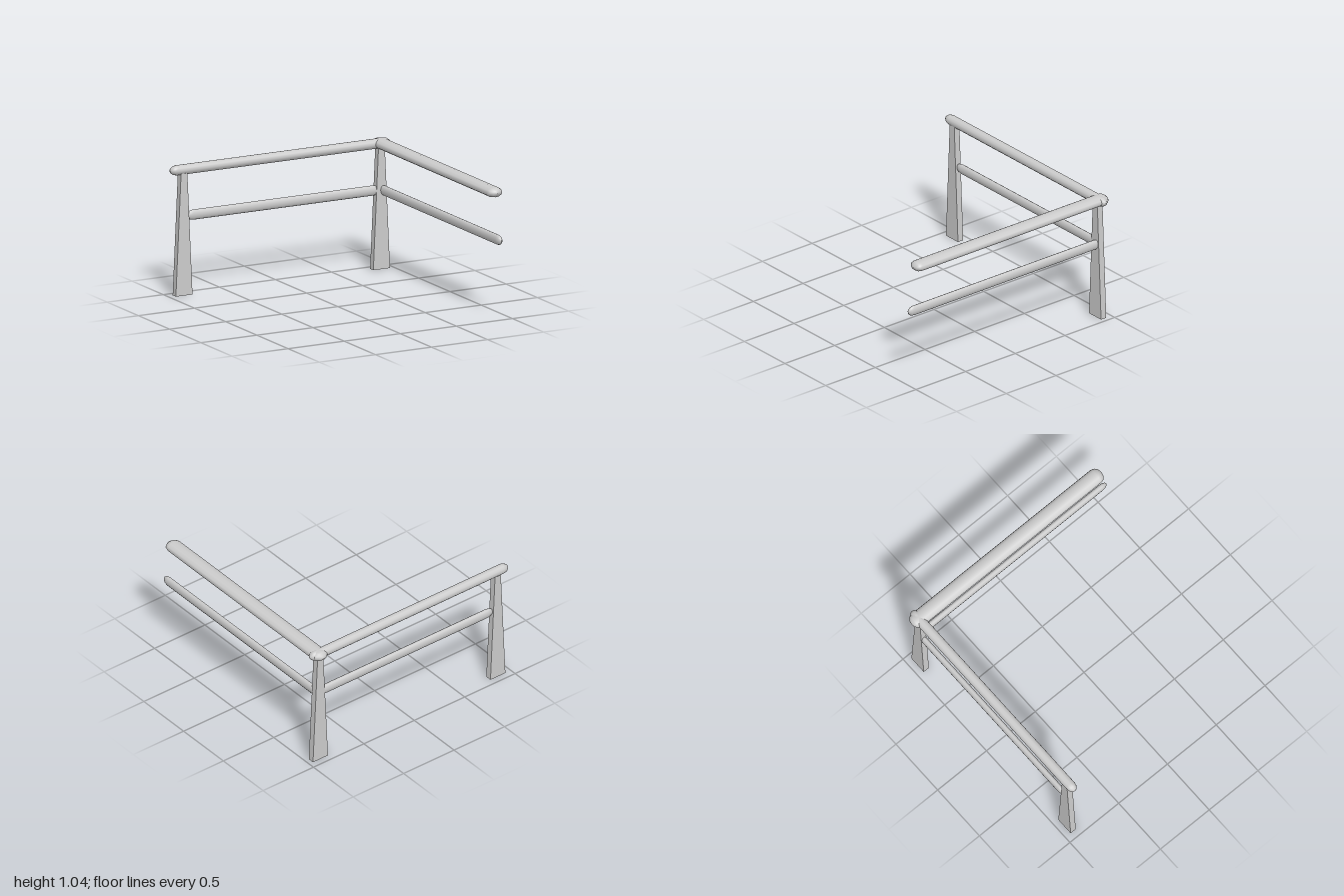
import * as THREE from 'three';

const material = new THREE.MeshStandardMaterial({ color: 0xcccccc });
const SIDES = 12;

// Rounded bar lying along x or z: oval section (half width, half height) with domed ends
function rail(name, axis, from, to, cross, y, halfWidth, halfHeight, cap) {
  const profile = [];
  for (let i = 0; i <= 3; i++) {
    const a = (i / 3) * Math.PI / 2;
    profile.push(new THREE.Vector2(Math.sin(a), from + cap * (1 - Math.cos(a))));
  }
  for (let i = 3; i >= 0; i--) {
    const a = (i / 3) * Math.PI / 2;
    profile.push(new THREE.Vector2(Math.sin(a), to - cap * (1 - Math.cos(a))));
  }
  const geometry = new THREE.LatheGeometry(profile, SIDES);
  if (axis === 'x') {
    geometry.scale(halfHeight, 1, halfWidth).rotateZ(-Math.PI / 2).translate(0, y, cross);
  } else {
    geometry.scale(halfWidth, 1, halfHeight).rotateX(Math.PI / 2).translate(cross, y, 0);
  }
  const mesh = new THREE.Mesh(geometry, material);
  mesh.name = name;
  return mesh;
}

// Flat post that narrows towards the top
function post(name, x) {
  const shape = new THREE.Shape([
    new THREE.Vector2(-0.074, 0),
    new THREE.Vector2(0.074, 0),
    new THREE.Vector2(0.028, 0.98),
    new THREE.Vector2(-0.028, 0.98),
  ]);
  const geometry = new THREE.ExtrudeGeometry(shape, { depth: 0.052, bevelEnabled: false });
  const mesh = new THREE.Mesh(geometry, material);
  mesh.position.set(x, 0, -0.946);
  mesh.name = name;
  return mesh;
}

export function createModel() {
  const group = new THREE.Group();
  group.name = 'cornerFence';
  group.add(
    post('rightPost', -0.872),
    post('leftPost', 0.888),
    // Back run
    rail('backTopRail', 'x', -0.98, 0.98, -0.928, 1.004, 0.042, 0.041, 0.06),
    rail('backLowerRail', 'x', -0.84, 0.89, -0.92, 0.633, 0.024, 0.041, 0.06),
    // Side run
    rail('sideTopRail', 'z', -1, 0.945, 0.897, 1.004, 0.067, 0.041, 0.055),
    rail('sideLowerRail', 'z', -0.935, 1, 0.902, 0.633, 0.025, 0.041, 0.055),
  );
  return group;
}
